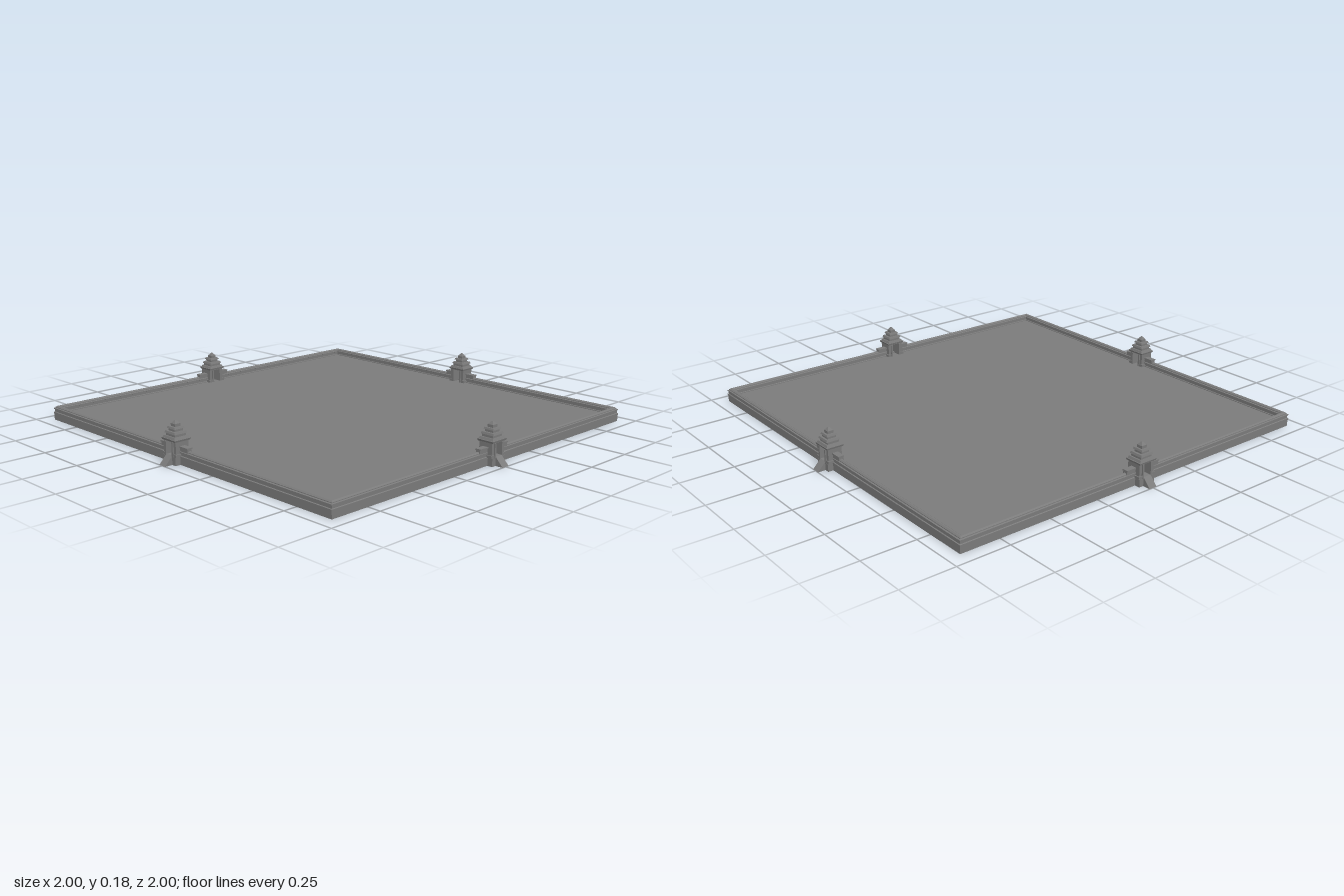
import * as THREE from 'three';

const material = new THREE.MeshStandardMaterial({ color: 0x7b7b7b, flatShading: true, side: THREE.DoubleSide });
const FLOOR = 0.035, GATE_Z = 0.925;

function add(group, name, geometry, x = 0, y = 0, z = 0) {
  const mesh = new THREE.Mesh(geometry, material);
  mesh.name = name;
  mesh.position.set(x, y, z);
  group.add(mesh);
  return mesh;
}

// box given by its size, standing on height y
function block(group, name, w, h, d, x, y, z) {
  return add(group, name, new THREE.BoxGeometry(w, h, d), x, y + h / 2, z);
}

// rectangular tapering tier, sizes given as half-widths
function tier(group, name, bottom, top, h, y, z, stretch = 1) {
  const g = new THREE.CylinderGeometry(top * Math.SQRT2, bottom * Math.SQRT2, h, 4);
  g.rotateY(Math.PI / 4);
  g.scale(stretch, 1, 1);
  return add(group, name, g, 0, y + h / 2, z);
}

// half of one wall: stepped section with a pitched coping, swept from the gate to a mitred corner
function wallHalf(side) {
  const section = new THREE.Shape([
    [0.908, 0.03], [0.94, 0.03], [0.94, 0.038], [0.936, 0.04], [0.936, 0.052],
    [0.939, 0.053], [0.939, 0.057], [0.933, 0.059], [0.933, 0.062], [0.927, 0.067],
    [0.921, 0.067], [0.915, 0.062], [0.915, 0.059], [0.909, 0.057],
    [0.909, 0.053], [0.912, 0.052], [0.912, 0.04], [0.908, 0.038],
  ].map(([z, y]) => new THREE.Vector2(z, y)));
  const g = new THREE.ExtrudeGeometry(section, { depth: 1, bevelEnabled: false });
  const p = g.attributes.position;
  for (let i = 0; i < p.count; i++) {
    const z = p.getX(i), y = p.getY(i), atCorner = p.getZ(i) > 0.5;
    p.setXYZ(i, side * (atCorner ? z : 0.03), y, z);
  }
  // mirroring keeps one half facing outward; turn the other half's triangles round
  if (side > 0) {
    for (let i = 0; i < p.count; i += 3) {
      const a = new THREE.Vector3().fromBufferAttribute(p, i);
      const b = new THREE.Vector3().fromBufferAttribute(p, i + 1);
      p.setXYZ(i, b.x, b.y, b.z);
      p.setXYZ(i + 1, a.x, a.y, a.z);
    }
  }
  g.computeVertexNormals();
  return g;
}

function createGate() {
  const gate = new THREE.Group();
  gate.name = 'gate';

  // plinth and jambs on both sides of the open passage
  block(gate, 'plinth', 0.085, FLOOR, 0.07, 0, 0, GATE_Z + 0.003);
  for (const s of [-1, 1]) {
    block(gate, 'jamb', 0.022, 0.067, 0.066, s * 0.03, FLOOR, GATE_Z);
    block(gate, 'jambFoot', 0.028, 0.012, 0.074, s * 0.033, FLOOR, GATE_Z);
    for (const f of [-1, 1])
      block(gate, 'doorPilaster', 0.008, 0.062, 0.008, s * 0.023, FLOOR, GATE_Z + f * 0.035);
    // low raised wing joining the gate to the wall
    block(gate, 'wing', 0.052, 0.04, 0.022, s * 0.064, FLOOR, GATE_Z);
    block(gate, 'wingCap', 0.054, 0.006, 0.028, s * 0.064, 0.074, GATE_Z);
  }
  block(gate, 'lintel', 0.082, 0.01, 0.07, 0, 0.097, GATE_Z);

  // stepped roof
  tier(gate, 'eave', 0.039, 0.041, 0.008, 0.1, GATE_Z, 1.15);
  tier(gate, 'lowerRoof', 0.038, 0.034, 0.01, 0.108, GATE_Z, 1.1);
  tier(gate, 'middleTier', 0.028, 0.028, 0.014, 0.117, GATE_Z, 1.1);
  tier(gate, 'middleEave', 0.033, 0.03, 0.009, 0.129, GATE_Z, 1.05);
  tier(gate, 'upperTier', 0.021, 0.021, 0.014, 0.137, GATE_Z);
  tier(gate, 'upperEave', 0.026, 0.023, 0.008, 0.149, GATE_Z);
  tier(gate, 'crown', 0.014, 0.014, 0.013, 0.156, GATE_Z);
  tier(gate, 'finial', 0.013, 0.003, 0.013, 0.169, GATE_Z);

  // sloping stair outside
  const slope = new THREE.Shape([[0.93, 0], [1, 0], [0.962, 0.04], [0.93, 0.04]]
    .map(([z, y]) => new THREE.Vector2(-z, y)));
  const stair = new THREE.ExtrudeGeometry(slope, { depth: 0.04, bevelEnabled: false });
  stair.translate(0, 0, -0.02);
  stair.rotateY(Math.PI / 2);
  add(gate, 'stair', stair);
  return gate;
}

export function createModel() {
  const model = new THREE.Group();
  model.name = 'walledCourt';
  block(model, 'platform', 1.876, FLOOR, 1.876, 0, 0, 0);

  // four equal sides, each with a gate between two wall halves
  for (let i = 0; i < 4; i++) {
    const side = new THREE.Group();
    side.name = 'courtSide';
    for (const s of [-1, 1]) add(side, 'wall', wallHalf(s));
    side.add(createGate());
    side.rotation.y = i * Math.PI / 2;
    model.add(side);
  }
  return model;
}
